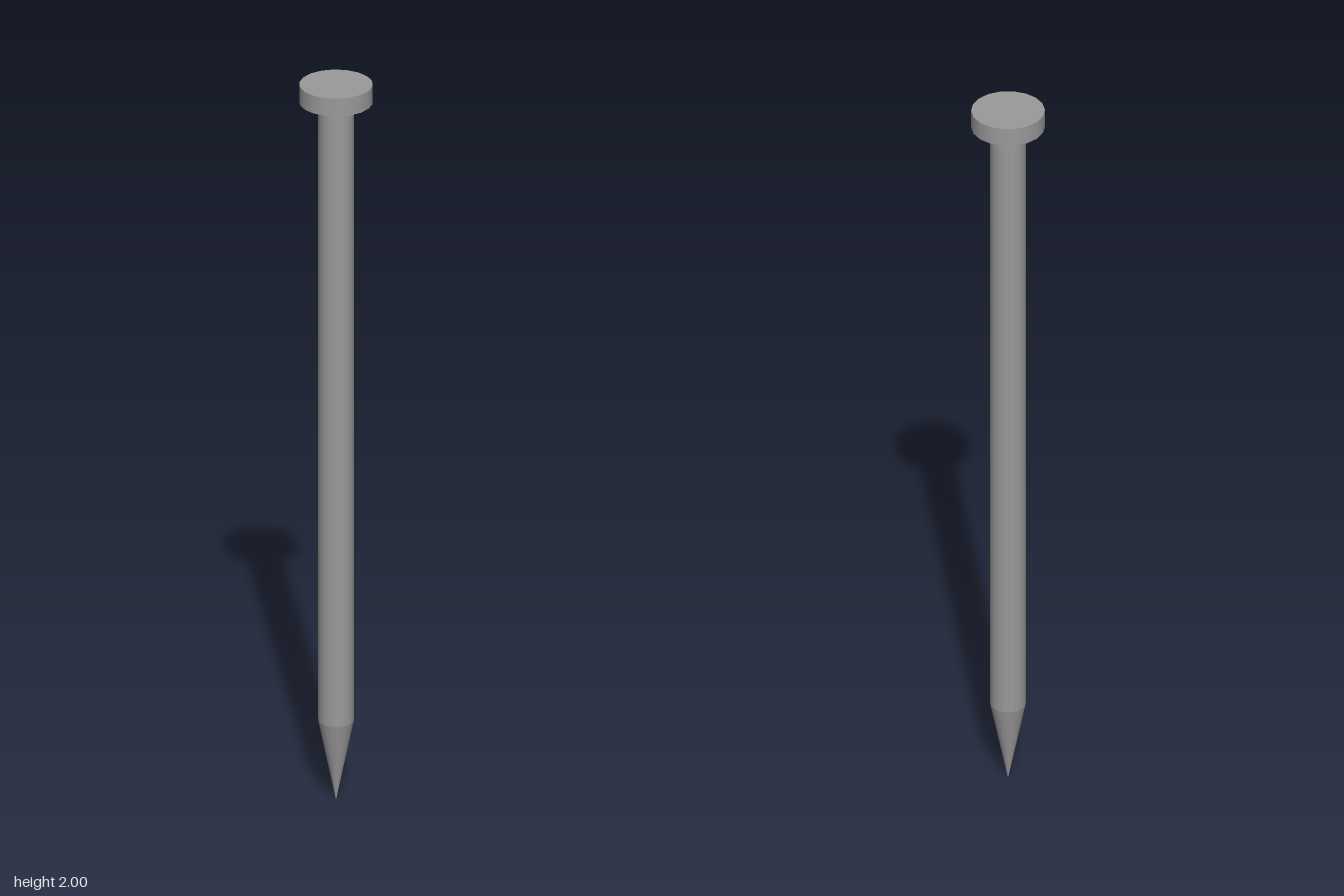
import * as THREE from 'three';

const SIDES = 18;

export function createModel() {
  const group = new THREE.Group();
  const material = new THREE.MeshStandardMaterial({ color: 0x9a9a9a });

  // Round section between two heights, with a corner on the x axis
  function section(name, topRadius, bottomRadius, y0, y1, open) {
    const geometry = new THREE.CylinderGeometry(
      topRadius, bottomRadius, y1 - y0, SIDES, 1, open, Math.PI / 2);
    const mesh = new THREE.Mesh(geometry, material);
    mesh.name = name;
    mesh.position.y = (y0 + y1) / 2;
    group.add(mesh);
  }

  section('head', 0.095, 0.095, 1.95, 2, false);
  section('shank', 0.046, 0.046, 0.22, 1.95, true);
  section('point', 0.046, 0.001, 0, 0.22, false);

  group.name = 'nail';
  return group;
}
